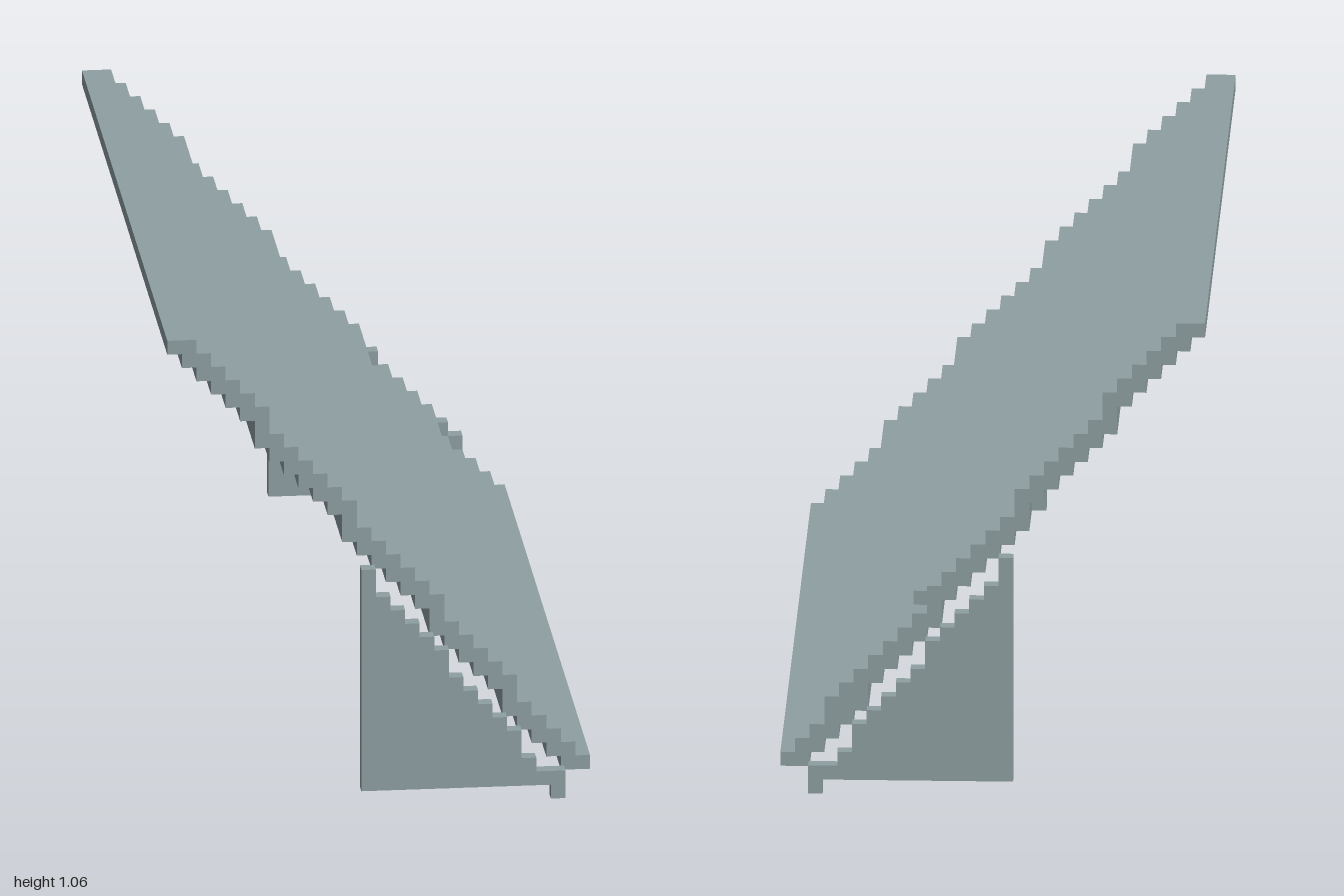
import * as THREE from 'three';

const V = 2 / 62; // size of one block
const X0 = -14.5; // grid column 0 in blocks

// Stepped outline from one [firstColumn, lastColumn] span per row, bottom to top
function steppedGeometry(spans, firstRow, z0, depth) {
  const right = [], left = [];
  spans.forEach(([a, b], i) => {
    const y = (firstRow + i) * V;
    right.push(new THREE.Vector2((X0 + b + 1) * V, y), new THREE.Vector2((X0 + b + 1) * V, y + V));
    left.push(new THREE.Vector2((X0 + a) * V, y), new THREE.Vector2((X0 + a) * V, y + V));
  });
  // drop repeated points on straight runs
  const loop = [...right, ...left.reverse()];
  const pts = loop.filter((p, i) => {
    const q = loop[(i + loop.length - 1) % loop.length], n = loop[(i + 1) % loop.length];
    return !p.equals(q) && !(p.x === q.x && p.x === n.x);
  });
  const geo = new THREE.ExtrudeGeometry(new THREE.Shape(pts), { depth: depth * V, bevelEnabled: false });
  geo.translate(0, 0, z0 * V);
  return geo;
}

export function createModel() {
  const group = new THREE.Group();
  const steel = new THREE.MeshStandardMaterial({ color: 0x8fa0a3 });
  steel.name = 'greySteel';
  const add = (name, geo) => {
    const mesh = new THREE.Mesh(geo, steel);
    mesh.name = name;
    group.add(mesh);
    return mesh;
  };

  // Sloping panel: two blocks wide per row, one block on the doubled steps
  const doubled = [6, 12, 19, 26];
  const panel = [];
  for (let r = 1; r <= 32; r++) {
    const start = 28 - r + doubled.filter((d) => d <= r).length;
    panel.push([start, doubled.includes(r) ? start : start + 1]);
  }
  add('slopingPanel', steppedGeometry(panel, 1, -28, 56));

  // Small raised blocks near the rear edge: [column, row, z]
  for (const [c, r, z] of [[19, 12, -26], [24, 6, -28], [25, 5, -28]]) {
    const block = add('raisedBlock', new THREE.BoxGeometry(V, V, V));
    block.position.set((X0 + c + 0.5) * V, (r + 0.5) * V, (z + 0.5) * V);
  }

  // Triangular side brackets: top row of each column from 13 to 26
  const tops = [16, 14, 13, 12, 11, 10, 8, 7, 6, 5, 4, 2, 1, 1];
  const bracket = [[26, 26]];
  for (let r = 1; r <= 16; r++) bracket.push([13, 12 + tops.filter((t) => t >= r).length]);
  add('frontBracket', steppedGeometry(bracket, 0, 30, 1));
  add('rearBracket', steppedGeometry(bracket, 0, -31, 1));

  return group;
}
